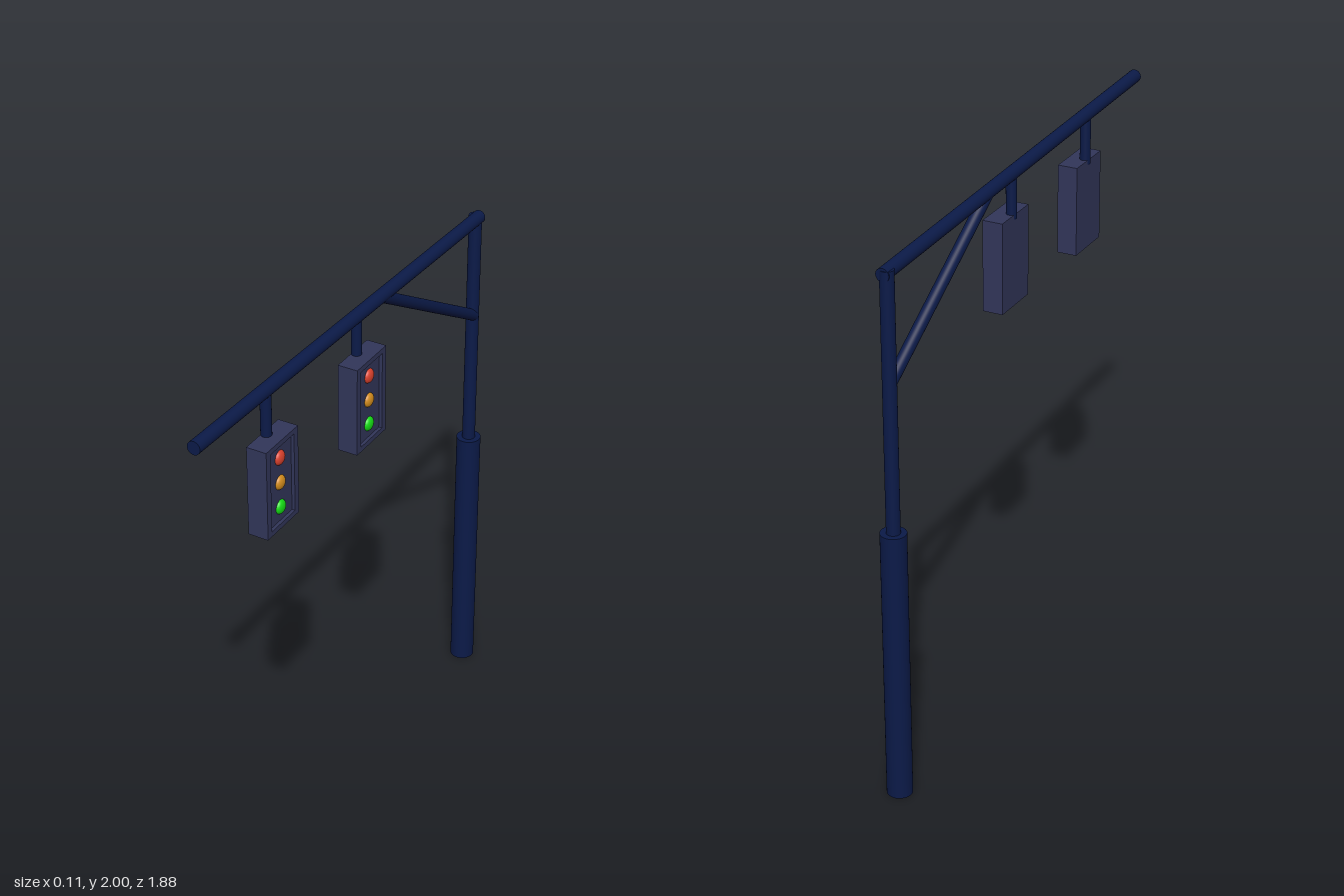
import * as THREE from 'three';

const mat = (color) => new THREE.MeshStandardMaterial({ color });
const poleMat = mat(0x0b1a48);
const bodyMat = mat(0x32365a);
const lampMats = [['redLamp', 0xd8402c], ['amberLamp', 0xd08a1c], ['greenLamp', 0x14d814]]
  .map(([name, color]) => ({ name, material: mat(color) }));

function add(parent, name, geometry, material, x = 0, y = 0, z = 0) {
  const mesh = new THREE.Mesh(geometry, material);
  mesh.name = name;
  mesh.position.set(x, y, z);
  parent.add(mesh);
  return mesh;
}

// Round bar running between two points
function bar(parent, name, from, to, radius) {
  const a = new THREE.Vector3(...from), b = new THREE.Vector3(...to);
  const dir = b.clone().sub(a);
  const mesh = add(parent, name, new THREE.CylinderGeometry(radius, radius, dir.length(), 32), poleMat);
  mesh.position.copy(a).add(b).multiplyScalar(0.5);
  mesh.quaternion.setFromUnitVectors(new THREE.Vector3(0, 1, 0), dir.normalize());
}

function rectangle(path, w, h) {
  path.moveTo(-w / 2, -h / 2);
  path.lineTo(w / 2, -h / 2);
  path.lineTo(w / 2, h / 2);
  path.lineTo(-w / 2, h / 2);
  path.closePath();
  return path;
}

// Signal head, built facing +z: housing, raised rim and three domed lamps
function signalHead() {
  const head = new THREE.Group();
  head.name = 'signalHead';
  const w = 0.193, h = 0.332, depth = 0.074, recess = 0.012;
  add(head, 'housing', new THREE.BoxGeometry(w, h, depth - recess), bodyMat, 0, 0, -recess / 2);
  const rim = rectangle(new THREE.Shape(), w, h);
  rim.holes.push(rectangle(new THREE.Path(), w - 0.05, h - 0.038));
  add(head, 'rim', new THREE.ExtrudeGeometry(rim, { depth: recess, bevelEnabled: false }),
    bodyMat, 0, 0, depth / 2 - recess);
  lampMats.forEach(({ name, material }, i) => {
    const lamp = add(head, name, new THREE.SphereGeometry(0.026, 24, 16), material,
      0, 0.094 * (1 - i), depth / 2 - recess);
    lamp.scale.z = 0.6;
  });
  return head;
}

export function createModel() {
  const model = new THREE.Group();
  model.name = 'trafficSignal';
  const px = -0.012, pz = -0.892, ax = -0.007;

  // Stepped pole
  bar(model, 'lowerPole', [px, 0, pz], [px, 1.013, pz], 0.045);
  bar(model, 'upperPole', [px, 1.0, pz], [px, 1.94, pz], 0.024);

  // Gently rising arm and its diagonal brace
  bar(model, 'arm', [ax, 1.926, -0.912], [ax, 1.976, 0.94], 0.024);
  bar(model, 'brace', [ax, 1.535, pz], [ax, 1.945, -0.205], 0.021);

  // Hanging signal heads
  for (const [z, y] of [[0.528, 1.634], [-0.043, 1.64]]) {
    bar(model, 'hanger', [ax, y + 0.15, z], [ax, 1.95, z], 0.019);
    const head = signalHead();
    head.position.set(0.015, y, z);
    head.rotation.y = Math.PI / 2;
    model.add(head);
  }
  return model;
}
